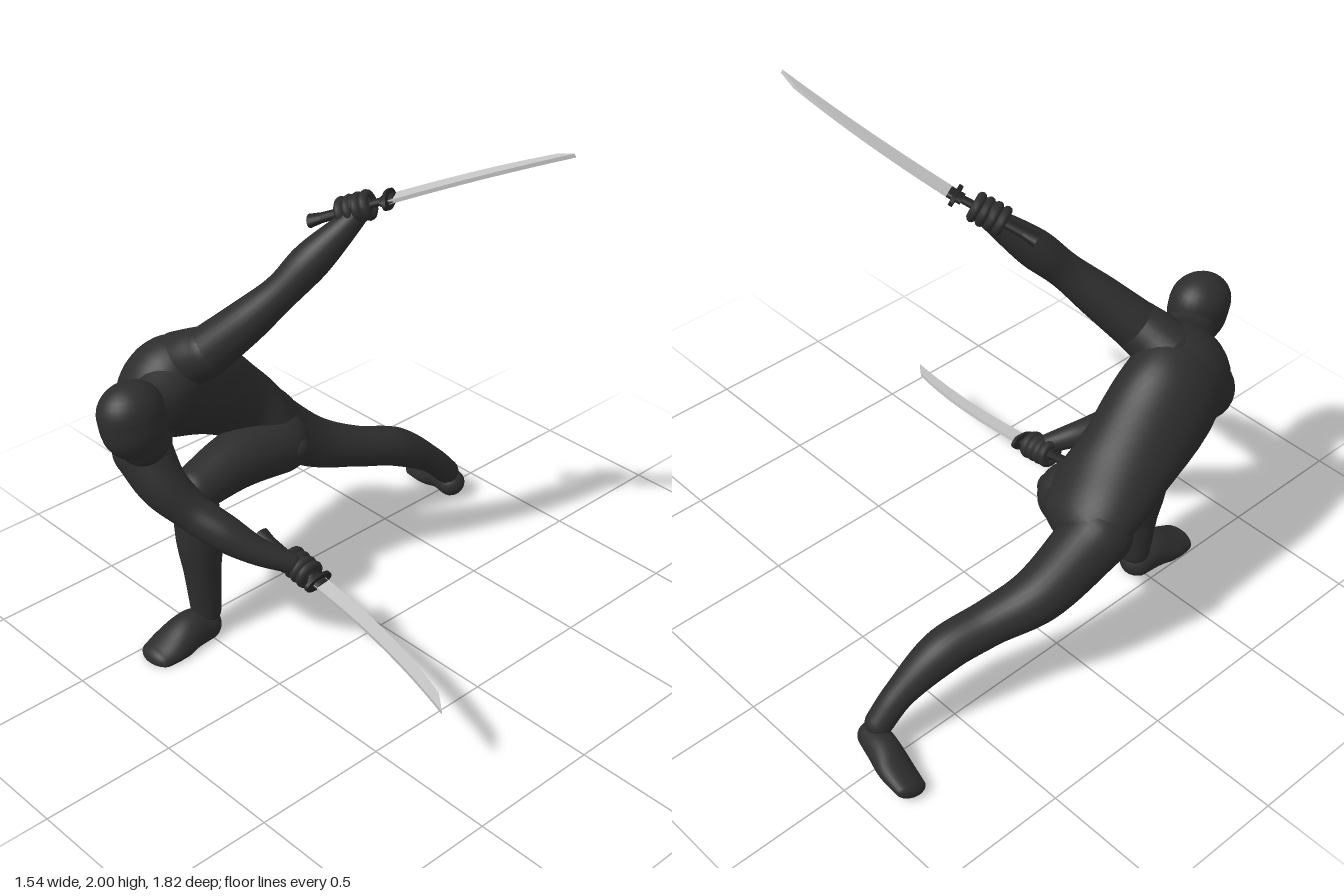
import * as THREE from 'three';

const material = (name, color) => {
  const m = new THREE.MeshStandardMaterial({ color });
  m.name = name;
  return m;
};
const V = (a) => new THREE.Vector3(a[0], a[1], a[2]);

// Smooth body section: rows are [x, y, z, halfWidth, halfDepth]; sides give the width direction per row.
function loft(rows, sides, steps = 32, around = 28) {
  const sideList = Array.isArray(sides[0]) ? sides : rows.map(() => sides);
  const path = new THREE.CatmullRomCurve3(rows.map(V));
  const sizes = new THREE.CatmullRomCurve3(rows.map((r) => new THREE.Vector3(r[3], r[4] ?? r[3], 0)));
  const sideCurve = new THREE.CatmullRomCurve3(sideList.map(V));
  const rings = [];
  const capSteps = 8;
  // rounded start, body, rounded end
  for (let i = 0; i < capSteps; i++) rings.push([0, -Math.PI / 2 * (1 - i / capSteps)]);
  for (let i = 0; i <= steps; i++) rings.push([i / steps, 0]);
  for (let i = 1; i <= capSteps; i++) rings.push([1, Math.PI / 2 * i / capSteps]);
  const pos = [], index = [];
  rings.forEach(([t, a], i) => {
    const c = path.getPoint(t), size = sizes.getPoint(t), T = path.getTangent(t);
    const S = sideCurve.getPoint(t);
    S.addScaledVector(T, -S.dot(T)).normalize();
    const D = T.clone().cross(S);
    c.addScaledVector(T, Math.sin(a) * Math.min(size.x, size.y));
    const k = Math.max(Math.cos(a), 0.001);
    for (let j = 0; j < around; j++) {
      const th = (j / around) * Math.PI * 2;
      const p = c.clone().addScaledVector(S, Math.cos(th) * size.x * k).addScaledVector(D, Math.sin(th) * size.y * k);
      // soles are flattened on the ground
      pos.push(p.x, Math.max(p.y, 0), p.z);
      if (i < rings.length - 1) {
        const p0 = i * around + j, p1 = i * around + (j + 1) % around;
        index.push(p0, p1, p0 + around, p1, p1 + around, p0 + around);
      }
    }
  });
  const g = new THREE.BufferGeometry();
  g.setAttribute('position', new THREE.Float32BufferAttribute(pos, 3));
  g.setIndex(index);
  g.computeVertexNormals();
  return g;
}

export function createModel() {
  const model = new THREE.Group();
  model.name = 'swordFighter';
  const suit = material('charcoal suit', 0x2d2d2d);
  const grip = material('dark grip', 0x242424);
  const steel = material('steel', 0xc4c4c4);

  const add = (name, geometry, mat = suit, parent = model) => {
    const m = new THREE.Mesh(geometry, mat);
    m.name = name;
    parent.add(m);
    return m;
  };
  const ball = (name, p, s, parent = model) => {
    const m = add(name, new THREE.SphereGeometry(1, 32, 20), suit, parent);
    m.position.set(...p);
    m.scale.set(...s);
    return m;
  };

  // Twisted torso, from pelvis to broad upper chest
  add('torso', loft(
    [[-0.57, 0.66, 0.04, 0.19, 0.122], [-0.588, 0.8, 0.19, 0.172, 0.135],
      [-0.572, 0.965, 0.42, 0.205, 0.158], [-0.545, 1.015, 0.53, 0.198, 0.148]],
    [[-0.93, 0, -0.3], [-0.8, -0.4, 0.3], [-0.25, -0.75, 0.6], [-0.25, -0.75, 0.6]], 40, 36));
  // Shoulder masses joining the arms to the back
  add('rightShoulder', loft([[-0.58, 0.93, 0.55, 0.12], [-0.55, 0.88, 0.63, 0.115], [-0.5, 0.83, 0.665, 0.105]], [1, 1, 0]));
  add('leftShoulder', loft([[-0.51, 1.1, 0.47, 0.11], [-0.46, 1.135, 0.455, 0.1], [-0.41, 1.165, 0.435, 0.092]], [1, 0, 1]));

  // Head and neck
  add('neck', loft([[-0.49, 1.03, 0.55, 0.12], [-0.43, 1.02, 0.66, 0.09], [-0.39, 1.03, 0.74, 0.085]], [0, 1, 0]));
  add('head', loft([[-0.377, 1.09, 0.788, 0.102, 0.12], [-0.37, 1.03, 0.782, 0.102, 0.117],
    [-0.364, 0.965, 0.75, 0.085, 0.092]], [1, 0, 0]));

  // Arms
  add('leftArm', loft([[-0.41, 1.165, 0.435, 0.09], [-0.305, 1.29, 0.335, 0.077], [-0.222, 1.405, 0.24, 0.063],
    [-0.18, 1.49, 0.165, 0.068], [-0.108, 1.63, 0.035, 0.043], [-0.095, 1.67, 0, 0.038]], [1, 0, 1]));
  add('rightArm', loft([[-0.5, 0.83, 0.665, 0.105], [-0.415, 0.72, 0.65, 0.088], [-0.325, 0.625, 0.595, 0.07],
    [-0.22, 0.56, 0.54, 0.066], [-0.13, 0.5, 0.475, 0.05], [-0.05, 0.45, 0.39, 0.038]], [1, 1, 0]));

  // Bent front leg
  add('frontThigh', loft([[-0.455, 0.64, 0.09, 0.12], [-0.46, 0.645, 0.28, 0.11], [-0.44, 0.62, 0.49, 0.09, 0.086]], [1, 0, 0]));
  add('frontShin', loft([[-0.44, 0.61, 0.5, 0.088, 0.082], [-0.43, 0.43, 0.495, 0.088, 0.084],
    [-0.422, 0.27, 0.495, 0.068], [-0.42, 0.1, 0.49, 0.056]], [1, 0, 0]));
  add('frontFoot', loft([[-0.42, 0.04, 0.505, 0.066, 0.066], [-0.42, 0.045, 0.57, 0.072, 0.075],
    [-0.42, 0.02, 0.66, 0.083, 0.06], [-0.42, 0.008, 0.72, 0.075, 0.042]], [1, 0, 0]));

  // Stretched back leg
  add('backLeg', loft([[-0.65, 0.64, 0.02, 0.122], [-0.595, 0.455, -0.2, 0.1], [-0.53, 0.385, -0.38, 0.08],
    [-0.485, 0.335, -0.54, 0.078], [-0.45, 0.215, -0.71, 0.054], [-0.44, 0.13, -0.79, 0.05]], [1, 0, 0], 44));
  add('backFoot', loft([[-0.43, 0.07, -0.81, 0.056, 0.052], [-0.5, 0.07, -0.825, 0.058, 0.058],
    [-0.58, 0.052, -0.84, 0.07, 0.046], [-0.665, 0.04, -0.85, 0.064, 0.034]], [0, 0.4, -0.9]));

  // Round hip joints
  ball('leftHipJoint', [-0.372, 0.64, 0.07], [0.045, 0.05, 0.05]);
  ball('rightHipJoint', [-0.73, 0.65, 0.03], [0.042, 0.05, 0.05]);

  // Group whose x axis runs from a to b, with y as near to the given edge direction as possible
  const frame = (name, a, b, edge) => {
    const g = new THREE.Group();
    g.name = name;
    const X = V(b).sub(V(a)).normalize();
    const Y = V(edge);
    Y.addScaledVector(X, -Y.dot(X)).normalize();
    g.quaternion.setFromRotationMatrix(new THREE.Matrix4().makeBasis(X, Y, X.clone().cross(Y)));
    g.position.copy(V(a));
    model.add(g);
    return [g, V(a).distanceTo(V(b))];
  };

  // Curved sword with the hand closed round its handle
  function sword(side, end, guard, tip, edge, bulge, handAt) {
    const [hilt, hl] = frame(side + 'Hilt', end, guard, edge);
    const handle = add('handle', new THREE.CylinderGeometry(0.016, 0.024, hl, 16).rotateZ(-Math.PI / 2), grip, hilt);
    handle.position.x = hl / 2;
    handle.scale.z = 0.75;
    const pommel = add('pommel', new THREE.CylinderGeometry(0.023, 0.032, 0.05, 16).rotateZ(-Math.PI / 2), grip, hilt);
    pommel.position.x = 0.025;
    pommel.scale.z = 0.7;
    const disc = add('guard', new THREE.CylinderGeometry(0.058, 0.058, 0.014, 24).rotateZ(-Math.PI / 2), grip, hilt);
    disc.position.x = hl;
    disc.scale.z = 0.5;
    const collar = add('collar', new THREE.CylinderGeometry(0.03, 0.03, 0.05, 16).rotateZ(-Math.PI / 2), grip, hilt);
    collar.position.x = hl;
    collar.scale.z = 0.5;
    // palm and four fingers
    ball(side + 'Palm', [handAt, 0, 0], [0.064, 0.044, 0.047], hilt);
    for (let i = 0; i < 4; i++) {
      const finger = add('finger', new THREE.TorusGeometry(0.036, 0.0165, 10, 24).rotateY(Math.PI / 2), suit, hilt);
      finger.position.x = handAt + (i - 1.5) * 0.031;
      finger.scale.y = 1.1;
    }
    // blade
    const [bladeGroup, L] = frame(side + 'Blade', guard, tip, edge);
    const h = 0.028;
    const outline = new THREE.Shape();
    outline.moveTo(0, -h);
    outline.quadraticCurveTo(L / 2, bulge - 0.05, L, 0);
    outline.lineTo(L - 0.07, bulge / 2);
    outline.quadraticCurveTo(L / 2, bulge, 0, h);
    const blade = new THREE.ExtrudeGeometry(outline, { depth: 0.014, bevelEnabled: false, curveSegments: 24 });
    add('blade', blade.translate(0, 0, -0.007), steel, bladeGroup);
  }
  sword('left', [-0.25, 1.6, 0.09], [-0.01, 1.715, -0.045], [0.6, 1.995, -0.255], [0, 0.3, -1], 0.062, 0.175);
  sword('right', [-0.245, 0.458, 0.36], [0.06, 0.41, 0.36], [0.77, 0.308, 0.46], [0, 0.12, -1], 0.078, 0.215);

  return model;
}
